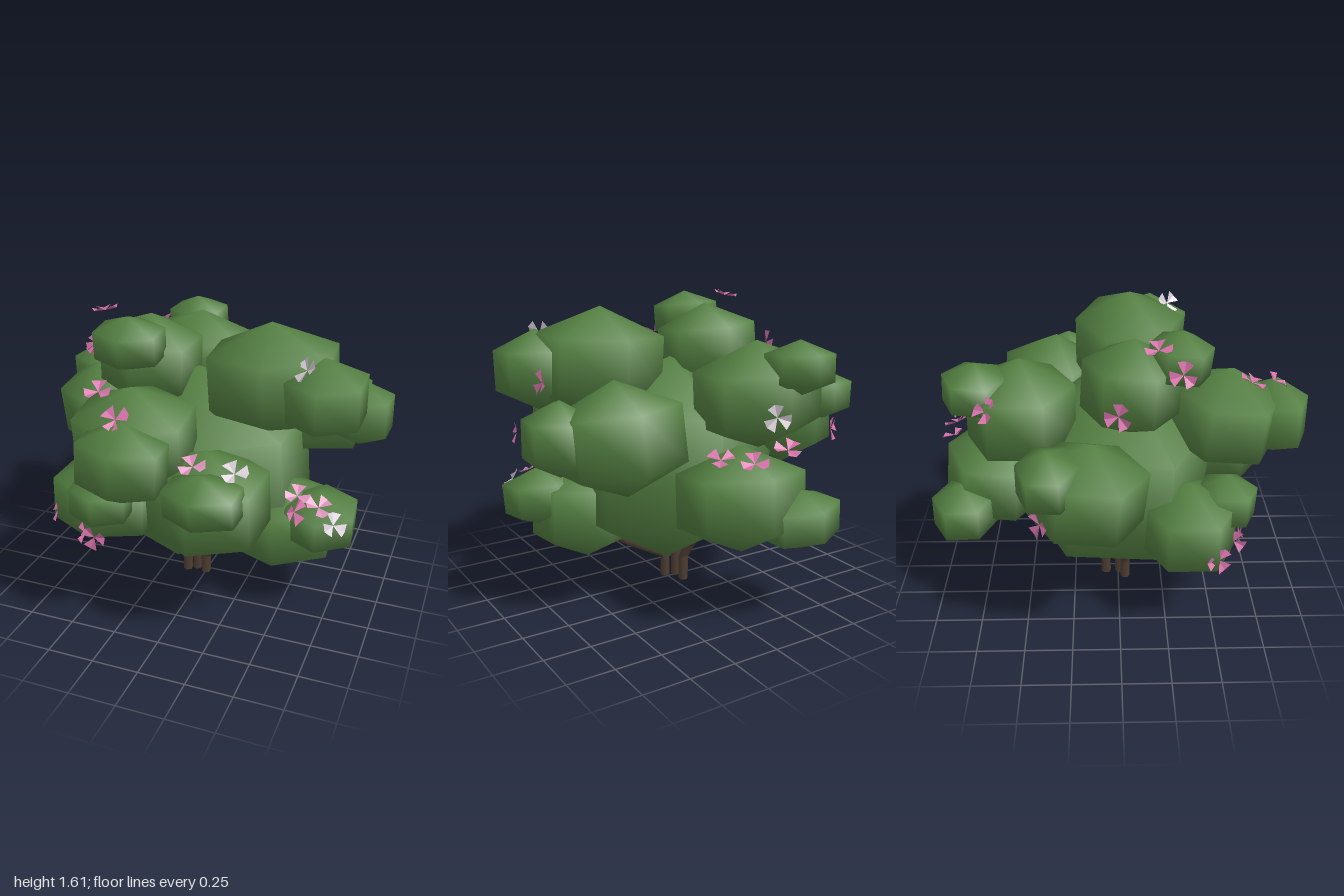
import * as THREE from 'three';

const mat = (name, color, side = THREE.FrontSide) => {
  const m = new THREE.MeshStandardMaterial({ color, side });
  m.name = name;
  return m;
};

// Leaf clumps: name, centre x y z, half extents x y z
const CLUMPS = [
  ['core', 0, 0.71, 0, 0.51, 0.57, 0.52],
  ['frontUpper', -0.17, 1.07, 0.56, 0.27, 0.27, 0.28],
  ['frontUpperBud', -0.12, 1.05, 0.83, 0.20, 0.21, 0.17],
  ['frontLower', 0.21, 0.78, 0.56, 0.27, 0.28, 0.29],
  ['frontLowerBud', 0.26, 0.89, 0.77, 0.18, 0.14, 0.15],
  ['rightLower', -0.45, 0.58, 0.36, 0.26, 0.24, 0.25],
  ['rightLowerBud', -0.38, 0.68, 0.56, 0.15, 0.15, 0.16],
  ['rightMiddle', -0.67, 0.91, -0.16, 0.235, 0.27, 0.29],
  ['rightMiddleBud', -0.78, 1.05, -0.34, 0.17, 0.15, 0.15],
  ['rightTop', -0.3, 1.3, 0.06, 0.24, 0.25, 0.25],
  ['rightTopBud', -0.31, 1.45, 0.3, 0.165, 0.145, 0.16],
  ['leftTop', 0.385, 1.27, 0.07, 0.31, 0.30, 0.30],
  ['leftTopBud', 0.68, 1.25, 0.19, 0.19, 0.21, 0.22],
  ['leftBack', 0.5, 0.98, -0.38, 0.28, 0.29, 0.28],
  ['leftBackBud', 0.78, 1.0, -0.29, 0.16, 0.19, 0.18],
  ['leftLower', 0.46, 0.48, 0.09, 0.265, 0.27, 0.26],
  ['leftLowerBud', 0.69, 0.57, 0.17, 0.175, 0.16, 0.2],
  ['backUpper', -0.23, 1.14, -0.5, 0.30, 0.28, 0.28],
  ['backUpperBud', -0.32, 1.3, -0.71, 0.155, 0.14, 0.165],
  ['backLower', -0.01, 0.67, -0.67, 0.29, 0.27, 0.28],
  ['backLowerBud', -0.26, 0.565, -0.83, 0.19, 0.155, 0.17],
];

// Blossoms grouped by colour: position x y z, facing x y z
const BLOSSOMS = {
  pink: [
    [-0.5, 1.57, 0.18, -0.2, 1, -0.1], [-0.66, 1.31, -0.01, -1, 0.15, -0.3],
    [-0.15, 1.26, 0.81, 0, 0.8, 0.6], [-0.31, 1.32, 0.66, 0, 0.9, 0.4],
    [-0.69, 0.52, 0.49, -0.9, 0.1, 0.4], [-0.4, 0.48, 0.63, 0, 0, 1],
    [-0.47, 0.48, 0.6, -1, 0, 0.25], [0.65, 0.82, 0.59, 1, 0.15, 0.4],
    [0.76, 1.23, -0.06, 1, 0.2, 0.1], [-0.51, 1.27, -0.64, -0.6, 0.6, -0.5],
    [0.18, 0.92, -0.76, 0.2, 1, -0.3], [0.08, 0.92, -0.89, 0.3, 1, -0.4],
    [-0.13, 0.95, -0.87, 0.2, 1, -0.4], [-0.85, 0.85, -0.38, -0.6, 0.1, -0.8],
    [-0.49, 1.44, 0.3, -0.9, 0.4, -0.2],
  ],
  blush: [
    [0.17, 1.01, 0.67, 0, 0.9, 0.4], [0.58, 0.72, 0.25, 0.2, 1, 0.4],
    [0.7, 0.69, 0.28, 0.3, 0.9, 0.4],
  ],
  white: [
    [0.38, 1.01, 0.67, 0.1, 0.9, 0.4], [0.79, 0.63, 0.33, 0.6, 0.6, 0.5],
    [0.61, 1.42, 0.3, -0.6, 0.5, 0.5], [-0.1, 1.1, -0.82, 0.5, 0, -0.9],
  ],
};

// Six-sided low sphere with smooth normals, corners towards +z and -z
function clumpGeometry(hx, hy, hz) {
  const g = new THREE.SphereGeometry(1, 6, 3);
  g.rotateY(Math.PI / 6);
  return g.scale(hx / 0.75, hy, hz / 0.866);
}

// Three wedge petals in the xy plane, slightly cupped towards +z
function blossomGeometry(r = 0.068) {
  const points = [];
  for (let i = 0; i < 3; i++) {
    const a = (i * Math.PI * 2) / 3;
    const at = (d, off, z) => [Math.cos(a + off) * d, Math.sin(a + off) * d, z];
    const tip = at(r, 0, 0.008), l = at(r, 0.62, 0.022), k = at(r, -0.62, 0.022);
    points.push(0, 0, 0, ...k, ...tip, 0, 0, 0, ...tip, ...l);
  }
  const g = new THREE.BufferGeometry();
  g.setAttribute('position', new THREE.Float32BufferAttribute(points, 3));
  g.computeVertexNormals();
  return g;
}

export function createModel() {
  const model = new THREE.Group();
  model.name = 'floweringBush';
  const leaf = mat('leafGreen', 0x548042);
  const bark = mat('barkBrown', 0x4d3d32);
  const petals = {
    pink: mat('petalPink', 0xd872ab, THREE.DoubleSide),
    blush: mat('petalBlush', 0xdf94bd, THREE.DoubleSide),
    white: mat('petalWhite', 0xdcd0da, THREE.DoubleSide),
  };

  // Foliage, each clump tilted a little differently
  const foliage = new THREE.Group();
  foliage.name = 'foliage';
  CLUMPS.forEach(([name, x, y, z, hx, hy, hz], i) => {
    const m = new THREE.Mesh(clumpGeometry(hx, hy, hz), leaf);
    m.name = name + 'Clump';
    m.position.set(x, y, z);
    m.rotation.set(0.06 + Math.sin(i * 2.1) * 0.06, Math.sin(i * 1.3) * 0.08, 0.06 * Math.cos(i * 1.7));
    foliage.add(m);
  });
  model.add(foliage);

  // Stems: straight at the foot, then spreading into the leaves
  const stems = new THREE.Group();
  stems.name = 'stems';
  [
    [[0, 0, 0.03], [0, 0.13, 0.03], [0.24, 0.26, 0.02], [0.42, 0.38, 0.04]],
    [[-0.11, 0, 0.04], [-0.11, 0.14, 0.04], [-0.18, 0.23, 0.05], [-0.3, 0.5, 0.2]],
    [[-0.06, 0, -0.07], [-0.06, 0.14, -0.07], [-0.08, 0.22, -0.11], [-0.1, 0.45, -0.3]],
    [[-0.06, 0, 0.01], [-0.06, 0.14, 0.01], [-0.05, 0.25, 0.02], [0, 0.5, 0.05]],
  ].forEach((pts, i) => {
    const path = new THREE.CurvePath();
    const v = pts.map((p) => new THREE.Vector3(...p));
    for (let k = 0; k < 3; k++) path.add(new THREE.LineCurve3(v[k], v[k + 1]));
    const m = new THREE.Mesh(new THREE.TubeGeometry(path, 12, 0.027, 6), bark);
    m.name = 'stem' + (i + 1);
    stems.add(m);
  });
  model.add(stems);

  // Blossoms
  const blossoms = new THREE.Group();
  blossoms.name = 'blossoms';
  const shape = blossomGeometry();
  for (const [colour, list] of Object.entries(BLOSSOMS)) {
    list.forEach(([x, y, z, nx, ny, nz], i) => {
      const m = new THREE.Mesh(shape, petals[colour]);
      m.name = colour + 'Blossom' + (i + 1);
      m.position.set(x, y, z);
      m.lookAt(x + nx, y + ny, z + nz);
      m.rotateZ(i * 1.3);
      blossoms.add(m);
    });
  }
  model.add(blossoms);
  return model;
}
